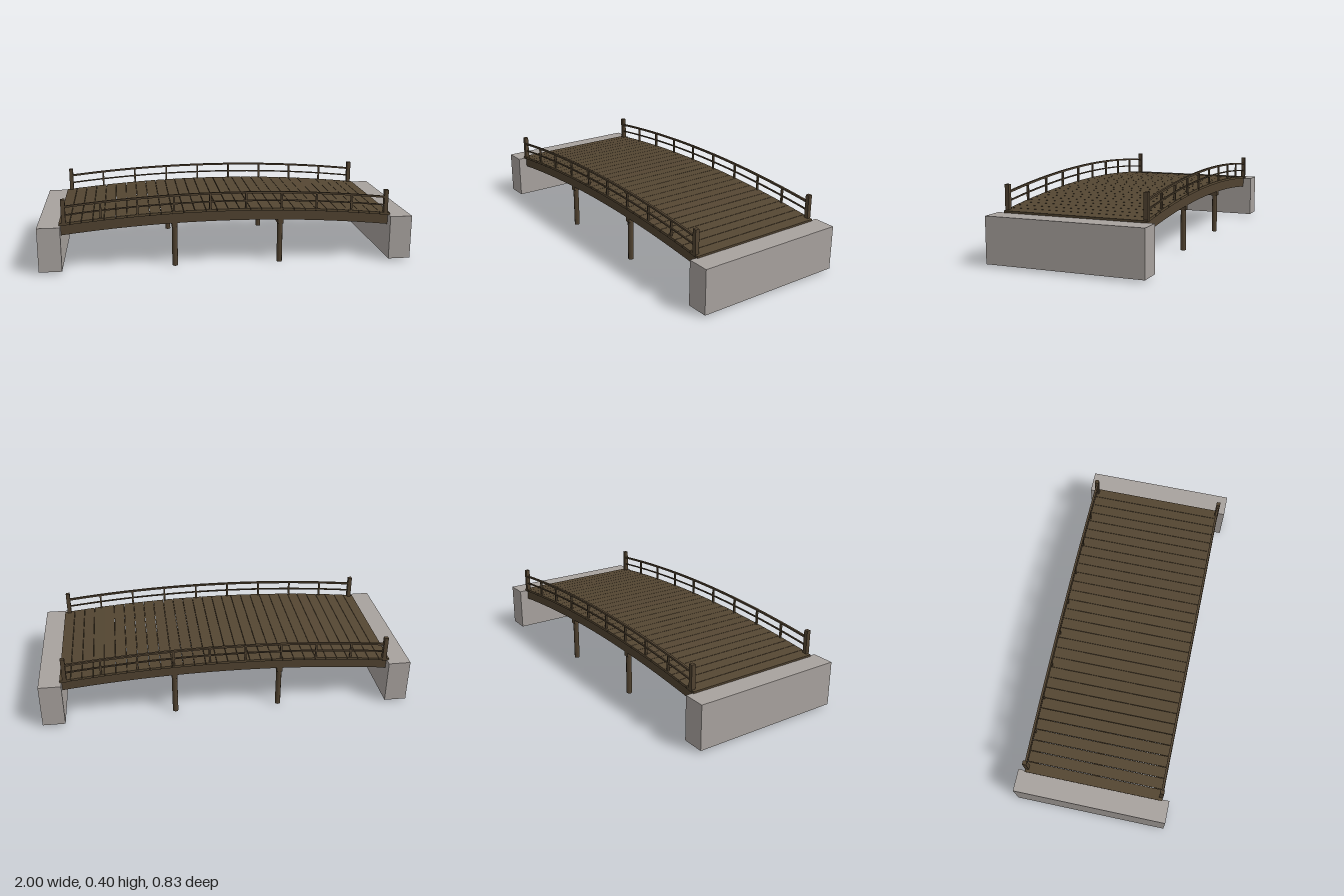
import * as THREE from 'three';

// Height of the shared arch above its crown (0 at centre, negative to the ends)
const HALF = 0.89;
const arch = x => -0.051 * (x / 0.88) ** 2;
const slope = x => Math.atan(-0.102 * x / 0.88 ** 2);

// Curved bar following the arch: underside y at the crown, height, z width, half length
function archedBar(base, height, width, half) {
  const shape = new THREE.Shape();
  const n = 24;
  for (let i = 0; i <= n; i++) {
    const x = -half + 2 * half * i / n;
    if (i === 0) shape.moveTo(x, base + arch(x));
    else shape.lineTo(x, base + arch(x));
  }
  for (let i = n; i >= 0; i--) {
    const x = -half + 2 * half * i / n;
    shape.lineTo(x, base + height + arch(x));
  }
  const geo = new THREE.ExtrudeGeometry(shape, { depth: width, bevelEnabled: false });
  return geo.translate(0, 0, -width / 2);
}

export function createModel() {
  const model = new THREE.Group();
  model.name = 'footbridge';
  const stone = new THREE.MeshStandardMaterial({ color: 0xa8a29e, side: THREE.DoubleSide });
  stone.name = 'stone';
  const plankWood = new THREE.MeshStandardMaterial({ color: 0x544632 });
  plankWood.name = 'plank wood';
  const beamWood = new THREE.MeshStandardMaterial({ color: 0x504230 });
  beamWood.name = 'beam wood';

  const add = (name, geo, mat, x = 0, y = 0, z = 0) => {
    const mesh = new THREE.Mesh(geo, mat);
    mesh.name = name;
    mesh.position.set(x, y, z);
    model.add(mesh);
    return mesh;
  };

  // Stone abutments, hollow and open underneath
  const abutment = new THREE.BoxGeometry(0.12, 0.238, 0.83);
  abutment.setIndex(Array.from(abutment.index.array).filter((_, i) => i < 18 || i >= 24));
  abutment.clearGroups();
  for (const s of [-1, 1]) add('abutment', abutment, stone, s * 0.94, 0.131, 0);

  // Three arched girders below the deck
  const girder = archedBar(0.246, 0.054, 0.04, 0.88);
  for (const z of [-0.345, 0, 0.345]) add('girder', girder, beamWood, 0, 0, z);

  // Deck planks, each tilted along the arch
  const count = 30;
  const pitch = 2 * HALF / count;
  const plank = new THREE.BoxGeometry(pitch - 0.002, 0.013, 0.754);
  for (let i = 0; i < count; i++) {
    const x = -HALF + pitch * (i + 0.5);
    add('plank', plank, plankWood, x, 0.3065 + arch(x), 0).rotation.z = slope(x);
  }

  // Round piles with a cross beam carrying the girders
  const pile = new THREE.CylinderGeometry(0.015, 0.015, 0.24, 8);
  const crossBeam = new THREE.BoxGeometry(0.03, 0.025, 0.73);
  for (const x of [-0.285, 0.285]) {
    add('crossBeam', crossBeam, beamWood, x, 0.23, 0);
    for (const z of [-0.347, 0.347]) add('pile', pile, beamWood, x, 0.12, z);
  }

  // Railings: end posts, slim balusters and two curved rails on each side
  const endPost = new THREE.BoxGeometry(0.022, 0.138, 0.022);
  const baluster = new THREE.BoxGeometry(0.01, 0.09, 0.01);
  const topRail = archedBar(0.393, 0.01, 0.012, 0.863);
  const midRail = archedBar(0.35, 0.007, 0.008, 0.863);
  for (const z of [-0.368, 0.368]) {
    add('topRail', topRail, beamWood, 0, 0, z);
    add('middleRail', midRail, beamWood, 0, 0, z);
    for (let i = 0; i <= 9; i++) {
      const x = -0.863 + 1.726 * i / 9;
      if (i === 0 || i === 9) add('endPost', endPost, beamWood, x, 0.321, z);
      else add('baluster', baluster, beamWood, x, 0.352 + arch(x), z);
    }
  }
  return model;
}
